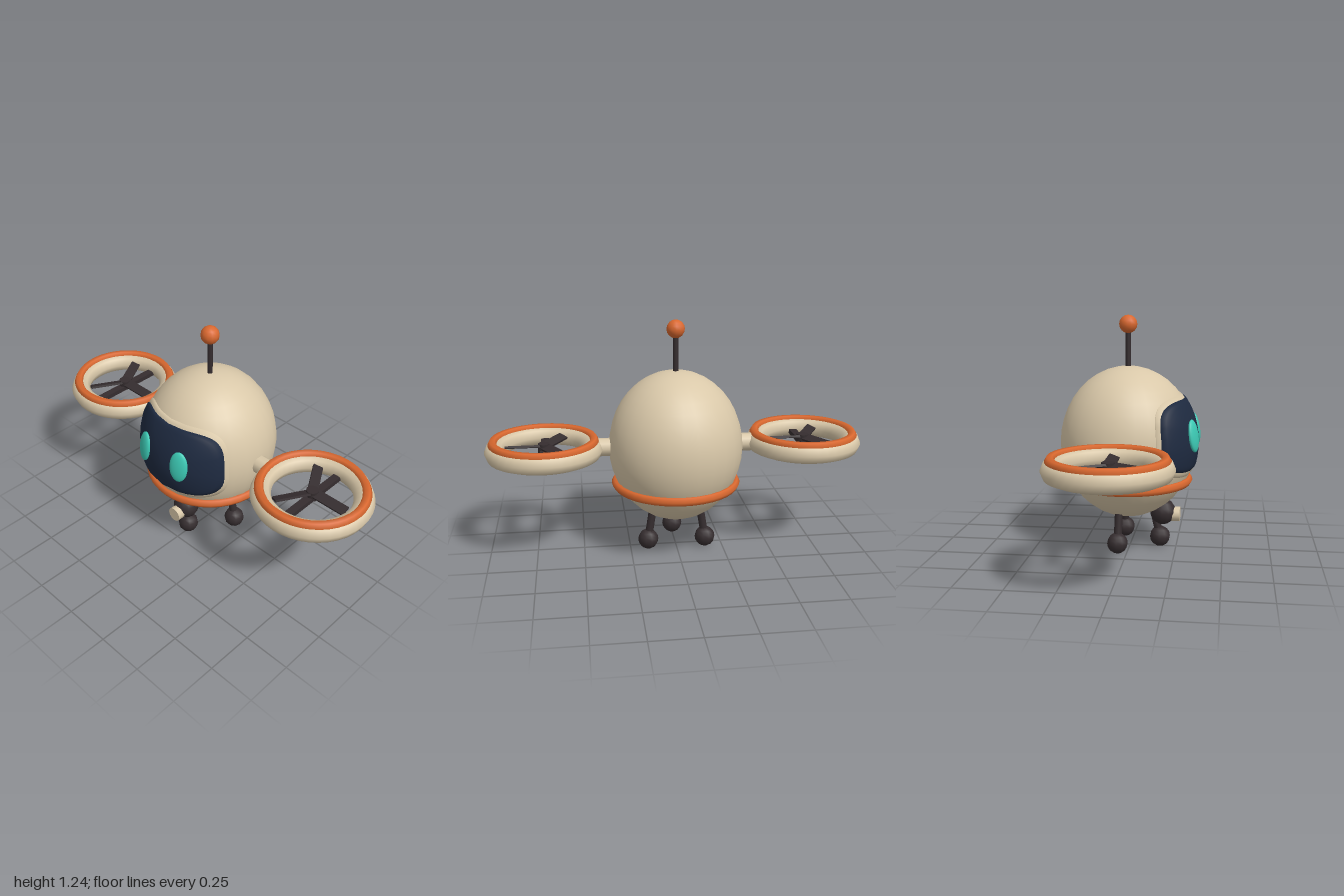
import * as THREE from 'three';

const paint = (name, color) => {
  const m = new THREE.MeshStandardMaterial({ color });
  m.name = name;
  return m;
};

export function createModel() {
  const cream = paint('cream', 0xd9c8a9);
  const orange = paint('orange', 0xd9682f);
  const dark = paint('charcoal', 0x352d2f);
  const navy = paint('navy', 0x1e2a40);
  const teal = paint('teal', 0x3cc9b4);

  const model = new THREE.Group();
  model.name = 'hoverRobot';

  const add = (name, geometry, material, x = 0, y = 0, z = 0, parent = model) => {
    const mesh = new THREE.Mesh(geometry, material);
    mesh.name = name;
    mesh.position.set(x, y, z);
    parent.add(mesh);
    return mesh;
  };
  const flatTorus = (radius, tube, sides) =>
    new THREE.TorusGeometry(radius, tube, sides, 40).rotateX(Math.PI / 2);
  // Round bar between two points
  const bar = (name, a, b, r, material, parent = model) => {
    const from = new THREE.Vector3(...a), to = new THREE.Vector3(...b);
    const dir = to.clone().sub(from);
    const mesh = add(name, new THREE.CylinderGeometry(r, r, dir.length(), 10), material, 0, 0, 0, parent);
    mesh.position.copy(from).add(to).multiplyScalar(0.5);
    mesh.quaternion.setFromUnitVectors(new THREE.Vector3(0, 1, 0), dir.normalize());
    return mesh;
  };

  // Egg-shaped body
  const C = { x: 0, y: 0.578, z: -0.01 };
  const R = { x: 0.355, y: 0.403, z: 0.359 };
  add('body', new THREE.SphereGeometry(1, 28, 20).scale(R.x, R.y, R.z), cream, C.x, C.y, C.z);
  add('belt', flatTorus(0.32, 0.024, 6), orange, 0, 0.378, C.z);

  // Rounded patch wrapped on the body: a superellipse in azimuth and latitude, with a turned-in rim
  const facePatch = (azimuth, latLow, latHigh, lift) => {
    const rings = 12, steps = 56, pos = [], index = [];
    const mid = (latLow + latHigh) / 2, half = (latHigh - latLow) / 2;
    const soft = (v) => Math.sign(v) * Math.pow(Math.abs(v), 0.52);
    for (let i = 0; i <= rings + 1; i++) {
      const s = Math.min(i / rings, 1);
      const off = i > rings ? -0.012 : i === rings ? lift - 0.003 : lift;
      for (let j = 0; j < steps; j++) {
        const t = (j / steps) * Math.PI * 2;
        const az = THREE.MathUtils.degToRad(azimuth * s * soft(Math.cos(t)));
        const lat = THREE.MathUtils.degToRad(mid + half * s * soft(Math.sin(t)));
        pos.push(
          (R.x + off) * Math.sin(az) * Math.cos(lat),
          (R.y + off) * Math.sin(lat),
          (R.z + off) * Math.cos(az) * Math.cos(lat));
        if (i > rings) continue;
        const a = i * steps + j, b = i * steps + (j + 1) % steps;
        if (i > 0) index.push(a, b + steps, b);
        index.push(a, a + steps, b + steps);
      }
    }
    const g = new THREE.BufferGeometry();
    g.setAttribute('position', new THREE.Float32BufferAttribute(pos, 3));
    g.setIndex(index);
    g.computeVertexNormals();
    return g;
  };
  add('visorFrame', facePatch(60, -22.5, 39.5, 0.008), cream, C.x, C.y, C.z);
  add('visor', facePatch(56, -18, 35.5, 0.016), navy, C.x, C.y, C.z);

  // Antenna
  bar('antennaRod', [0, 0.95, C.z], [0, 1.18, C.z], 0.014, dark);
  add('antennaBall', new THREE.SphereGeometry(0.048, 12, 8), orange, 0, 1.198, C.z);

  // Gimbal camera under the chin
  add('cameraBall', new THREE.SphereGeometry(0.07, 12, 8), dark, 0, 0.198, 0.178);
  add('cameraLens', new THREE.CylinderGeometry(0.04, 0.04, 0.09, 12).rotateX(Math.PI / 2),
    cream, 0, 0.185, 0.225);

  // Tripod landing legs
  const leg = (name, foot, top) => {
    bar(name, foot, top, 0.021, dark);
    add(name + 'Foot', new THREE.SphereGeometry(0.055, 10, 8), dark, ...foot);
  };
  leg('frontLeg', [0, 0.06, 0.163], [0, 0.26, 0.115]);

  for (const [side, s] of [['left', 1], ['right', -1]]) {
    // Eye
    const eye = add(side + 'Eye', new THREE.SphereGeometry(1, 20, 14).scale(0.05, 0.085, 0.02),
      teal, s * 0.123, 0.636, 0.342);
    eye.rotation.set(-0.15, s * 0.34, 0, 'YXZ');

    leg(side + 'RearLeg', [s * 0.155, 0.06, -0.048], [s * 0.122, 0.27, -0.042]);

    // Ducted rotor on a short arm
    bar(side + 'Arm', [s * 0.3, 0.58, C.z], [s * 0.43, 0.58, C.z], 0.048, cream);
    const rotor = new THREE.Group();
    rotor.name = side + 'Rotor';
    rotor.position.set(s * 0.693, 0.58, -0.013);
    model.add(rotor);
    add('duct', flatTorus(0.254, 0.053, 8), cream, 0, 0, 0, rotor);
    add('ductTrim', flatTorus(0.262, 0.025, 6), orange, 0, 0.042, 0, rotor);
    add('rotorStrut', new THREE.BoxGeometry(0.04, 0.025, 0.46), dark, 0, -0.012, 0, rotor);
    add('rotorHub', new THREE.CylinderGeometry(0.032, 0.032, 0.05, 10), dark, 0, 0.008, 0, rotor);
    for (let k = 0; k < 3; k++) {
      const blade = add('rotorBlade', new THREE.BoxGeometry(0.19, 0.012, 0.052).rotateX(0.35)
        .translate(0.105, 0, 0), dark, 0, 0.018, 0, rotor);
      blade.rotation.y = (k * Math.PI * 2) / 3;
    }
  }
  return model;
}
